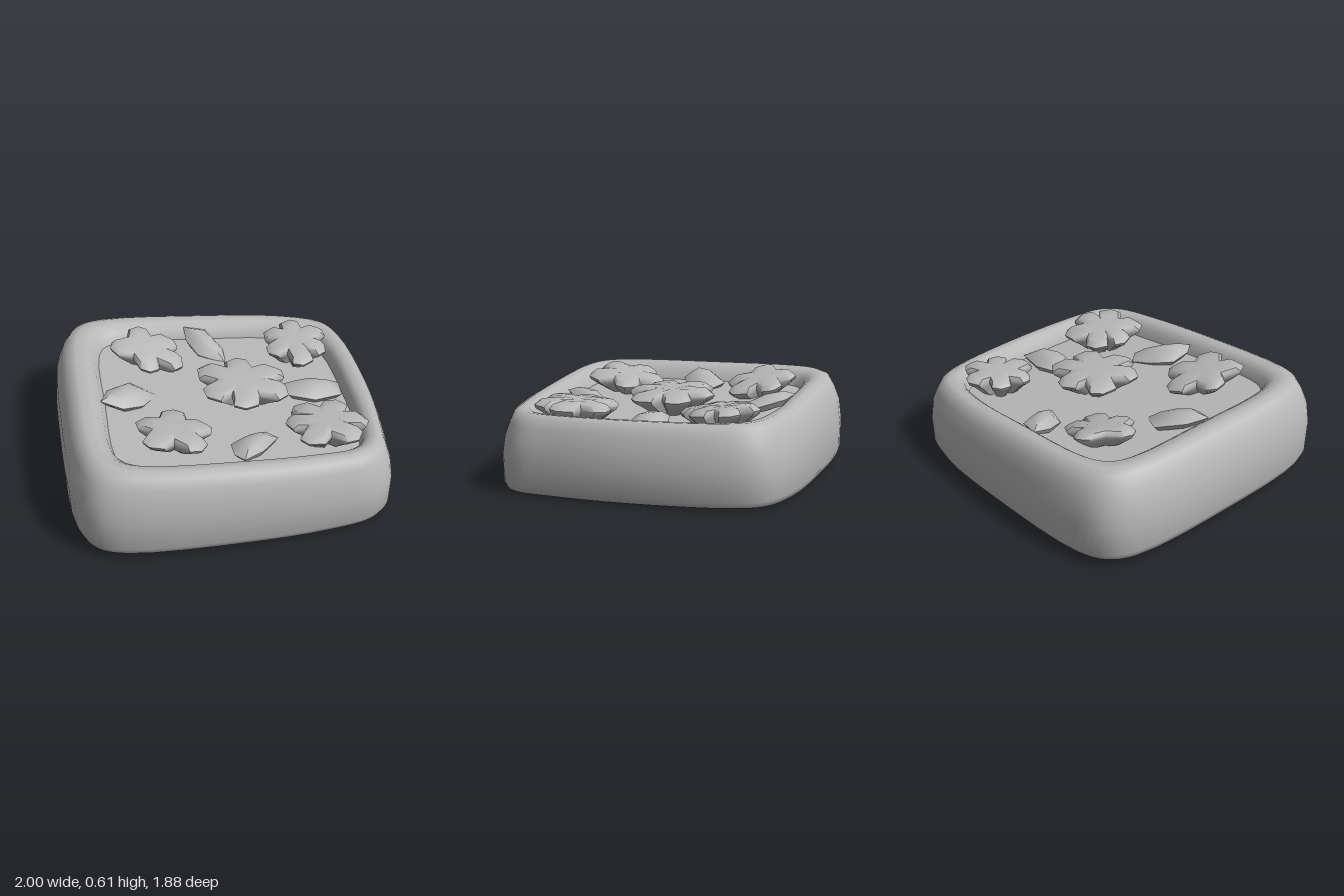
import * as THREE from 'three';
import { toCreasedNormals } from 'three/addons/utils/BufferGeometryUtils.js';

const V = (x, y, z) => new THREE.Vector3(x, y, z);
const clay = new THREE.MeshStandardMaterial({ name: 'clay grey', color: 0xb8b8b8 });
const FLOOR = 0.42, FLOOR_TILT = 0.075;

// Skins a stack of closed rings, listed from the underside up.
function loft(rings, crease) {
  const n = rings[0].length;
  const pos = [], index = [];
  rings.forEach((ring) => ring.forEach((p) => pos.push(p.x, p.y, p.z)));
  for (let j = 0; j < rings.length - 1; j++) {
    for (let i = 0; i < n; i++) {
      const k = (i + 1) % n;
      const a = j * n + i, b = j * n + k, c = a + n, d = b + n;
      index.push(a, c, b, b, c, d);
    }
  }
  const geo = new THREE.BufferGeometry();
  geo.setAttribute('position', new THREE.Float32BufferAttribute(pos, 3));
  geo.setIndex(index);
  return toCreasedNormals(geo, crease);
}

function add(parent, name, geo) {
  const mesh = new THREE.Mesh(geo, clay);
  mesh.name = name;
  parent.add(mesh);
}

// Smooth closed outline in the ground plane.
function outline(points) {
  const curve = new THREE.CatmullRomCurve3(points.map(([x, z]) => V(x, 0, z)), true, 'centripetal');
  return curve.getPoints(points.length * 4).slice(0, -1);
}

// Dished square tray, higher on its right side.
function tray() {
  const outer = outline([
    [1, 0], [0.96, 0.5], [0.92, 0.7], [0.8, 0.82], [0.5, 0.89], [0, 0.93], [-0.7, 0.92], [-0.87, 0.85],
    [-0.96, 0.68], [-1, 0], [-0.96, -0.7], [-0.87, -0.85], [-0.7, -0.92], [0, -0.93], [0.6, -0.88],
    [0.86, -0.78], [0.95, -0.6]]);
  const inner = outline([
    [0.79, 0], [0.78, 0.42], [0.74, 0.58], [0.64, 0.65], [0.4, 0.68], [0, 0.7], [-0.5, 0.7], [-0.64, 0.65],
    [-0.7, 0.54], [-0.71, 0], [-0.7, -0.5], [-0.65, -0.62], [-0.52, -0.68], [0, -0.69], [0.42, -0.68],
    [0.68, -0.61], [0.76, -0.46]]);
  // [blend from outer to inner, scale, height, tilt]
  const section = [
    [0, 0, 0.018, 0.017], [0, 0.9, 0.018, 0.017], [0, 0.95, 0.019, 0.017], [0, 0.98, 0.033, 0.02],
    [0, 0.995, 0.07, 0.025], [0, 1, 0.24, 0.035], [0, 0.985, 0.36, 0.048], [0.1, 0.978, 0.445, 0.058],
    [0.3, 0.995, 0.505, 0.066], [0.5, 1, 0.527, 0.068], [0.74, 1, 0.52, 0.068], [0.91, 1, 0.485, 0.068],
    [1, 1, FLOOR, FLOOR_TILT], [1, 0.95, FLOOR, FLOOR_TILT], [1, 0, FLOOR, FLOOR_TILT]];
  return loft(section.map(([t, s, y, tilt]) => outer.map((p, i) => {
    const q = p.clone().lerp(inner[i], t).multiplyScalar(s);
    q.y = y - tilt * q.x;
    return q;
  })), 1.0);
}

// Puffy ornament from a flat outline; layers are [scale, height above the floor].
function ornament(points, [cx, cz], layers, lean) {
  const rings = layers.map(([s, h]) => points.map(([x, z]) => {
    const dx = (x - cx) * s, dz = (z - cz) * s;
    const y = FLOOR - FLOOR_TILT * (cx + dx) + h + dx * lean[0] + dz * lean[1];
    return V(cx + dx, y, cz + dz);
  }));
  return loft(rings, 0.85);
}

// Flower outline: blunt petals at the tips and notches between them.
function flower(centre, tips, lift, lean) {
  const polar = tips.map(([x, z]) => {
    const dx = x - centre[0], dz = z - centre[1];
    return { a: Math.atan2(dz, dx), r: Math.hypot(dx, dz) };
  }).sort((p, q) => p.a - q.a);
  const points = [];
  const put = (a, r) => points.push([centre[0] + r * Math.cos(a), centre[1] + r * Math.sin(a)]);
  polar.forEach(({ a, r }, i) => {
    const next = polar[(i + 1) % polar.length];
    const gap = (next.a - a + Math.PI * 2) % (Math.PI * 2);
    put(a - 0.34, r * 0.89);
    put(a, r);
    put(a + 0.28, r * 0.93);
    put(a + gap / 2, (r + next.r) * 0.3);
  });
  // narrow foot, overhanging petals
  const petals = [[0.78, 0.03], [0.96, 0.06], [1, 0.08], [0.86, 0.108], [0.5, 0.118], [0, 0.11]];
  const layers = [[0, 0], [0.5, 0], ...petals.map(([s, h]) => [s, h + lift])];
  return ornament(points, centre, layers, lean);
}

function leaf(points, lean) {
  const centre = [0, 1].map((k) => points.reduce((s, p) => s + p[k], 0) / points.length);
  return ornament(points, centre, [[0, 0], [0.8, 0], [1, 0.035], [0.6, 0.075], [0, 0.09]], lean);
}

export function createModel() {
  const model = new THREE.Group();
  model.name = 'flowerTray';
  add(model, 'tray', tray());

  // centre, petal tips, lift, lean along x and z
  const flowers = {
    backRightFlower: [[-0.41, -0.45], [[-0.43, -0.67], [-0.2, -0.57], [-0.18, -0.32], [-0.4, -0.23], [-0.63, -0.42]], 0.01, [-0.17, -0.12]],
    backLeftFlower: [[0.57, -0.45], [[0.58, -0.68], [0.78, -0.55], [0.75, -0.32], [0.58, -0.2], [0.38, -0.35], [0.39, -0.57]], 0.035, [0.06, -0.08]],
    centreFlower: [[0.15, -0.02], [[0.15, -0.29], [-0.11, -0.18], [0.42, -0.14], [0.41, 0.13], [0.12, 0.26], [-0.1, 0.12]], 0.025, [0, 0]],
    frontRightFlower: [[-0.35, 0.43], [[-0.31, 0.18], [-0.11, 0.38], [-0.21, 0.66], [-0.51, 0.63], [-0.56, 0.34]], 0.01, [-0.08, 0.13]],
    frontLeftFlower: [[0.57, 0.43], [[0.7, 0.21], [0.83, 0.46], [0.72, 0.65], [0.42, 0.65], [0.33, 0.41], [0.42, 0.23]], 0.03, [0.06, 0.06]],
  };
  for (const [name, spec] of Object.entries(flowers)) add(model, name, flower(...spec));

  // outline, lean along x and z
  const leaves = {
    backLeaf: [[[-0.12, -0.73], [0.02, -0.7], [0.11, -0.53], [0.11, -0.4], [-0.06, -0.48], [-0.12, -0.61]], [0, -0.25]],
    rightLeaf: [[[-0.74, 0.08], [-0.69, -0.05], [-0.54, -0.17], [-0.38, -0.07], [-0.48, 0.07], [-0.61, 0.13]], [-0.2, 0]],
    frontLeaf: [[[0.28, 0.45], [0.16, 0.61], [0.03, 0.71], [-0.02, 0.64], [-0.02, 0.51], [0.1, 0.42], [0.22, 0.37]], [0, 0.18]],
    leftLeaf: [[[0.42, -0.09], [0.59, -0.13], [0.78, -0.08], [0.77, 0.05], [0.59, 0.1], [0.43, 0.04]], [0, 0]],
  };
  for (const [name, spec] of Object.entries(leaves)) add(model, name, leaf(...spec));
  return model;
}
